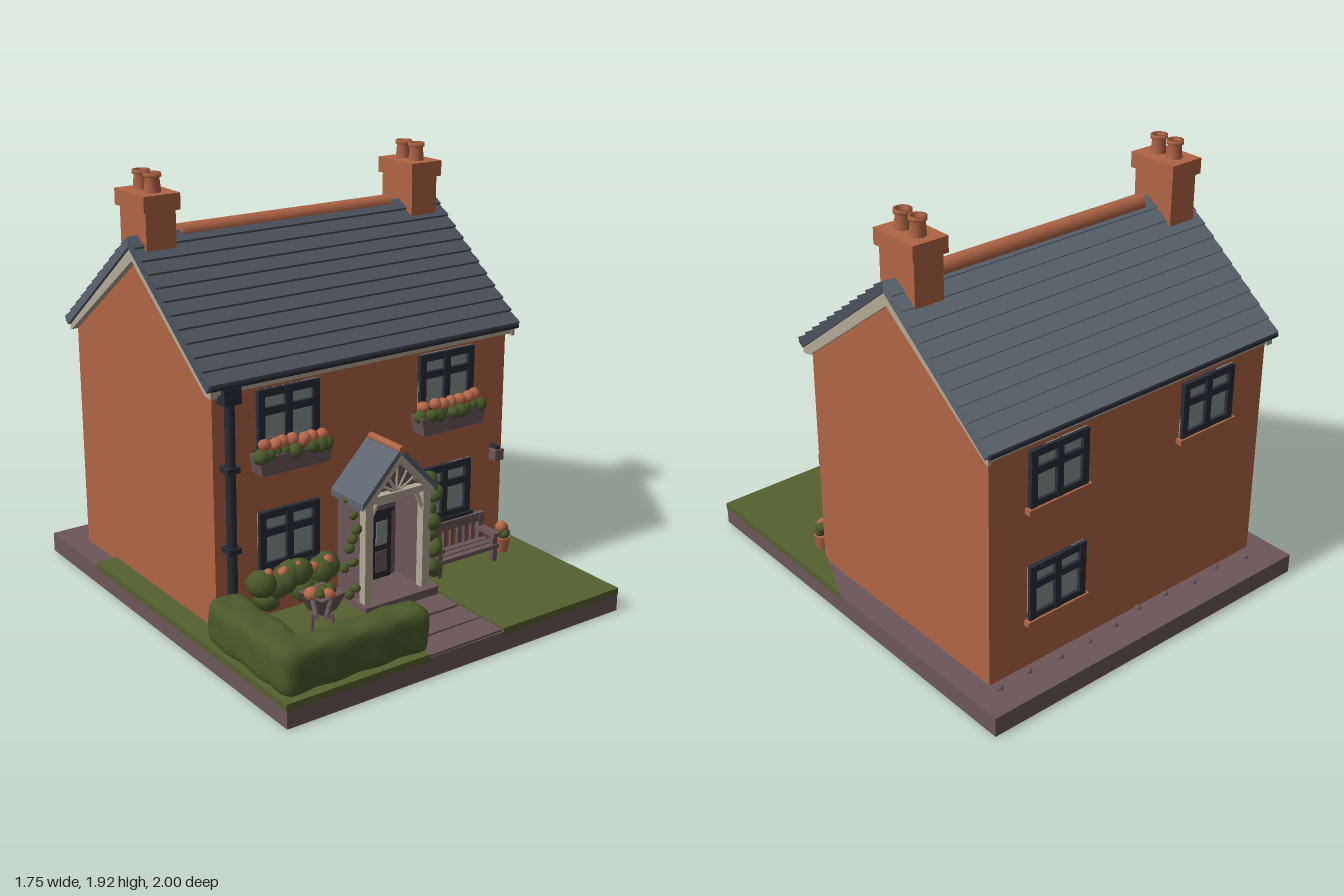
import * as THREE from 'three';
import { mergeVertices } from 'three/addons/utils/BufferGeometryUtils.js';

const mat = (name, color, opts = {}) => Object.assign(new THREE.MeshStandardMaterial({ color, ...opts }), { name });
const M = {
  brick: mat('brick', 0xb06545), slateDark: mat('dark slate', 0x4b525d), slate: mat('slate', 0x5c6570),
  stone: mat('stone and wood', 0x6c575a), grass: mat('grass', 0x566030), leaf: mat('foliage', 0x4b5a2a),
  cream: mat('cream timber', 0xb3a996), navy: mat('dark paint', 0x2a2c37), glass: mat('glass', 0x87928f),
  flower: mat('flower', 0xb8694a),
};

let seed = 7;
const rnd = () => (seed = (seed * 16807) % 2147483647) / 2147483647;

export function createModel() {
  const root = new THREE.Group();
  root.name = 'cottage';

  const group = (name) => { const g = new THREE.Group(); g.name = name; root.add(g); return g; };
  const add = (name, geo, material, parent = root) => {
    const m = new THREE.Mesh(geo, material);
    m.name = name;
    parent.add(m);
    return m;
  };
  // Box given by its limits
  const box = (name, x0, x1, y0, y1, z0, z1, material, parent) => {
    const m = add(name, new THREE.BoxGeometry(x1 - x0, y1 - y0, z1 - z0), material, parent);
    m.position.set((x0 + x1) / 2, (y0 + y1) / 2, (z0 + z1) / 2);
    return m;
  };
  // Square or round bar between two points
  const bar = (name, a, b, r, material, parent, sides = 8) => {
    const p = new THREE.Vector3(...a), q = new THREE.Vector3(...b);
    const m = add(name, new THREE.CylinderGeometry(r, r, p.distanceTo(q), sides), material, parent);
    m.position.copy(p).lerp(q, 0.5);
    m.quaternion.setFromUnitVectors(new THREE.Vector3(0, 1, 0), q.sub(p).normalize());
    return m;
  };
  // Profile of [z, y] points swept along x
  const sweepX = (name, pts, x0, x1, material, parent) => {
    const shape = new THREE.Shape(pts.map(([z, y]) => new THREE.Vector2(-z, y)));
    const geo = new THREE.ExtrudeGeometry(shape, { depth: x1 - x0, bevelEnabled: false });
    return add(name, geo.rotateY(Math.PI / 2).translate(x0, 0, 0), material, parent);
  };
  // Profile of [x, y] points swept along z
  const sweepZ = (name, pts, z0, z1, material, parent) => {
    const shape = new THREE.Shape(pts.map((p) => new THREE.Vector2(...p)));
    const geo = new THREE.ExtrudeGeometry(shape, { depth: z1 - z0, bevelEnabled: false });
    return add(name, geo.translate(0, 0, z0), material, parent);
  };
  // Lumpy ball for leaves and flowers
  const blob = (name, x, y, z, r, material, parent) => {
    const m = add(name, new THREE.IcosahedronGeometry(r, 1), material, parent);
    m.position.set(x, y, z);
    m.scale.set(0.85 + rnd() * 0.3, 0.8 + rnd() * 0.3, 0.85 + rnd() * 0.3);
    m.rotation.set(rnd() * 3, rnd() * 3, rnd() * 3);
  };

  // Plinth, lawns and path
  box('plinth', -0.87, 0.87, 0, 0.09, -1, 1, M.stone);
  const lawn = (name, pts) => {
    const shape = new THREE.Shape(pts.map(([x, z]) => new THREE.Vector2(x, -z)));
    const geo = new THREE.ExtrudeGeometry(shape, { depth: 0.03, bevelEnabled: false });
    add(name, geo.rotateX(-Math.PI / 2).translate(0, 0.076, 0), M.grass);
  };
  lawn('leftLawn', [[-0.873, -0.55], [-0.873, 1.0], [-0.18, 1.0], [-0.18, 0.32], [-0.76, 0.32], [-0.76, -0.55]]);
  lawn('rightLawn', [[0.21, 0.32], [0.21, 1.0], [0.873, 1.0], [0.873, 0.05], [0.79, 0.25], [0.75, 0.32]]);
  [0.58, 0.725, 0.865].forEach((z, i) => box('pathSlab', -0.175, 0.205, 0.08, 0.1, z, z + 0.13, M.stone).rotation.y = (i - 1) * 0.012);
  box('doorStep', -0.18, 0.21, 0.08, 0.13, 0.33, 0.57, M.stone);
  for (let i = 0; i < 10; i++) blob('pebble', -0.7 + i * 0.16, 0.092, -0.88 + rnd() * 0.04, 0.015, M.stone);

  // Walls with gable ends
  sweepX('walls', [[0.33, 0.08], [0.33, 1.17], [-0.23, 1.61], [-0.83, 1.17], [-0.83, 0.08]], -0.77, 0.76, M.brick);

  // Roof slopes with stepped slate courses, gutters, fascias and bargeboards
  const RZ = -0.235, RY = 1.665, EY = 1.18;
  for (const [side, eave, wall, courses, step, material] of [
    ['front', 0.39, 0.33, 11, 0.013, M.slateDark], ['back', -0.86, -0.83, 11, 0.007, M.slate]]) {
    const dz = eave - RZ, dy = EY - RY, len = Math.hypot(dz, dy), s = Math.sign(dz);
    const nz = (-dy / len) * s, ny = Math.abs(dz) / len;
    const pts = [];
    for (let i = 0; i < courses; i++) {
      const a = i / courses, b = (i + 1) / courses;
      pts.push([RZ + dz * a, RY + dy * a], [RZ + dz * b + nz * step, RY + dy * b + ny * step]);
    }
    pts.push([eave - nz * 0.035, EY - ny * 0.035], [RZ, RY - 0.045]);
    sweepX(side + 'Roof', pts, -0.815, 0.785, material);
    for (const [x0, x1] of [[-0.80, -0.768], [0.758, 0.775]])
      sweepX('bargeboard', [[RZ, RY - 0.03], [eave - s * 0.015, EY - 0.02], [eave - s * 0.015, EY - 0.055],
        [wall, EY - 0.05], [RZ, RY - 0.105]], x0, x1, M.cream);
    const out = eave - s * 0.02;
    box(side + 'Fascia', -0.78, 0.768, 1.135, 1.185, Math.min(wall, out), Math.max(wall, out), M.cream);
    bar(side + 'Gutter', [-0.81, 1.172, eave - s * 0.005], [0.78, 1.172, eave - s * 0.005], 0.014, M.navy);
  }
  bar('ridgeTile', [-0.57, 1.648, RZ - 0.01], [0.53, 1.648, RZ - 0.01], 0.04, M.brick, root, 10);

  // Chimneys with two pots each
  for (const [x, z] of [[-0.7, -0.265], [0.655, -0.245]]) {
    const g = group('chimney');
    box('stack', x - 0.07, x + 0.07, 1.45, 1.8, z - 0.11, z + 0.11, M.brick, g);
    box('cap', x - 0.085, x + 0.085, 1.77, 1.84, z - 0.125, z + 0.125, M.brick, g);
    for (const d of [-0.047, 0.047]) {
      const pot = add('pot', new THREE.LatheGeometry([[0.036, 0], [0.03, 0.065], [0.038, 0.068], [0.038, 0.085], [0.024, 0.085], [0.02, 0.03], [0, 0.03]]
        .map((p) => new THREE.Vector2(...p)), 12), M.brick, g);
      pot.position.set(x, 1.835, z + d);
    }
  }

  // Casement windows, front and back
  const windowAt = (x, y, z, turned) => {
    const g = group('window'), w = 0.15, h = 0.13, t = 0.016;
    box('pane', -w, w, -h, h, -0.01, 0.006, M.glass, g);
    for (const u of [-w + t, 0, w - t]) box('upright', u - t, u + t, -h, h, -0.01, 0.022, M.navy, g);
    for (const v of [-h + t, 0.035, h - t]) box('rail', -w, w, v - t, v + t, -0.01, 0.02, M.navy, g);
    box('sill', -w - 0.015, w + 0.015, -h - 0.018, -h + 0.005, -0.01, 0.03, turned ? M.brick : M.navy, g);
    g.position.set(x, y, z);
    if (turned) g.rotation.y = Math.PI;
  };
  for (const x of [-0.415, 0.415]) for (const y of [0.45, 0.98]) {
    windowAt(x, y, 0.33, false);
    if (x > 0 || y > 0.5) windowAt(x, y, -0.83, true);
  }

  // Window boxes with flowers, and a flower bed under the left window
  for (const x of [-0.42, 0.41]) {
    const g = group('windowBox');
    sweepZ('trough', [[x - 0.165, 0.765], [x + 0.165, 0.765], [x + 0.18, 0.845], [x - 0.18, 0.845]], 0.33, 0.41, M.stone, g);
    for (let i = 0; i < 9; i++) blob('leaves', x - 0.16 + i * 0.04, 0.845, 0.375 + rnd() * 0.03, 0.033, M.leaf, g);
    for (let i = 0; i < 7; i++) blob('bloom', x - 0.14 + i * 0.047, 0.875 + rnd() * 0.02, 0.365 + rnd() * 0.03, 0.028, M.flower, g);
  }
  const bed = group('flowerBed');
  for (let i = 0; i < 10; i++) {
    blob('leaves', -0.59 + i * 0.038, 0.2 + rnd() * 0.1, 0.37 + rnd() * 0.03, 0.06, M.leaf, bed);
    if (i % 2) blob('bloom', -0.6 + i * 0.038, 0.3 + rnd() * 0.03, 0.4, 0.027, M.flower, bed);
  }

  // Front door
  const door = group('frontDoor');
  box('doorFrame', -0.115, 0.14, 0.12, 0.47, 0.32, 0.35, M.stone, door);
  box('doorLeaf', -0.085, 0.11, 0.13, 0.44, 0.34, 0.36, M.navy, door);
  box('lintel', -0.1, 0.125, 0.44, 0.455, 0.34, 0.365, M.navy, door);
  for (const x of [-0.06, 0.025]) {
    box('doorGlass', x, x + 0.06, 0.29, 0.4, 0.355, 0.364, M.glass, door);
    box('doorPanel', x, x + 0.06, 0.16, 0.26, 0.355, 0.364, M.stone, door);
  }

  // Porch: posts, side screens, gable truss and slate roof
  const porch = group('porch'), cx = 0.008;
  for (const s of [-1, 1]) {
    box('post', cx + s * 0.153 - 0.02, cx + s * 0.153 + 0.02, 0.12, 0.6, 0.5, 0.54, M.cream, porch);
    box('sideScreen', cx + s * 0.153 - 0.01, cx + s * 0.153 + 0.01, 0.12, 0.6, 0.33, 0.51, M.stone, porch);
    const slope = (top, drop, half) => [[cx, top], [cx + s * half, 0.6], [cx + s * half, 0.6 - drop], [cx, top - drop]];
    sweepZ('porchRoof', slope(0.81, 0.03, 0.2), 0.33, 0.555, M.slate, porch);
    sweepZ('rafter', slope(0.785, 0.045, 0.182), 0.515, 0.55, M.cream, porch);
    bar('brace', [cx + s * 0.14, 0.5, 0.525], [cx + s * 0.1, 0.585, 0.525], 0.012, M.cream, porch, 4);
  }
  box('tieBeam', cx - 0.165, cx + 0.165, 0.58, 0.61, 0.505, 0.54, M.cream, porch);
  for (let i = 1; i < 6; i++) {
    const a = (i * Math.PI) / 6, r = i === 3 ? 0.15 : i % 2 ? 0.1 : 0.12;
    bar('trussSpoke', [cx, 0.6, 0.525], [cx + Math.cos(a) * r, 0.6 + Math.sin(a) * r, 0.525], 0.007, M.cream, porch, 4);
  }
  sweepZ('gableBack', [[cx - 0.15, 0.6], [cx + 0.15, 0.6], [cx, 0.755]], 0.495, 0.503, M.stone, porch);
  bar('porchRidge', [cx, 0.8, 0.34], [cx, 0.8, 0.56], 0.018, M.brick, porch);

  // Climbing rose on the right of the porch, a thin vine on the left
  const rose = group('climbingRose');
  for (let i = 0; i < 26; i++) {
    const y = 0.15 + (i / 25) * 0.45;
    blob('leaves', 0.2 + rnd() * 0.04, y, 0.37 + rnd() * 0.16, 0.04, M.leaf, rose);
    if (i % 2) blob('bloom', 0.215 + rnd() * 0.03 - Math.max(0, y - 0.45) * 0.6, y + 0.03, 0.4 + rnd() * 0.15, 0.027, M.flower, rose);
    if (i % 3 === 0) blob('leaves', -0.175 - rnd() * 0.015, y, 0.4 + rnd() * 0.12, 0.022, M.leaf, rose);
  }

  // Clipped hedge: rounded, gently uneven blocks
  const hedge = (x0, x1, z0, z1) => {
    const w = x1 - x0, h = 0.2, d = z1 - z0, r = 0.045, v = new THREE.Vector3(), c = new THREE.Vector3();
    let geo = new THREE.BoxGeometry(w, h, d, Math.ceil(w / 0.03), 7, Math.ceil(d / 0.03));
    geo.deleteAttribute('normal');
    geo.deleteAttribute('uv');
    geo = mergeVertices(geo);
    const p = geo.attributes.position;
    for (let i = 0; i < p.count; i++) {
      v.fromBufferAttribute(p, i);
      c.set(w / 2 - r, h / 2 - r, d / 2 - r);
      c.copy(v.clone().clamp(c.clone().negate(), c));
      const bump = r + 0.006 * Math.sin(v.x * 31 + v.y * 17) * Math.cos(v.z * 27 + v.y * 23);
      v.sub(c).setLength(bump).add(c);
      p.setXYZ(i, v.x, v.y, v.z);
    }
    geo.computeVertexNormals();
    add('hedge', geo, M.leaf).position.set((x0 + x1) / 2, 0.19, (z0 + z1) / 2);
  };
  hedge(-0.855, -0.145, 0.82, 0.97);
  hedge(-0.855, -0.685, 0.37, 0.96);

  // Drainpipe and wall lamp
  bar('drainpipe', [-0.71, 0.1, 0.365], [-0.71, 1.16, 0.365], 0.022, M.navy);
  box('hopper', -0.75, -0.67, 1.09, 1.16, 0.335, 0.395, M.navy);
  for (const y of [0.45, 0.8]) box('pipeBracket', -0.74, -0.68, y, y + 0.025, 0.325, 0.392, M.navy);
  box('lampArm', 0.69, 0.71, 0.6, 0.615, 0.33, 0.38, M.navy);
  box('lamp', 0.675, 0.725, 0.55, 0.6, 0.345, 0.39, M.stone);

  // Garden bench
  const bench = group('bench');
  for (const x of [0.285, 0.605]) {
    box('backLeg', x, x + 0.025, 0.1, 0.31, 0.35, 0.375, M.stone, bench);
    box('frontLeg', x, x + 0.025, 0.1, 0.235, 0.45, 0.475, M.stone, bench);
    box('armRest', x - 0.005, x + 0.03, 0.225, 0.245, 0.35, 0.485, M.stone, bench);
  }
  for (const z of [0.37, 0.41, 0.45]) box('seatSlat', 0.28, 0.635, 0.17, 0.188, z, z + 0.032, M.stone, bench);
  box('topRail', 0.28, 0.635, 0.27, 0.31, 0.35, 0.372, M.stone, bench);
  for (let i = 0; i < 7; i++) box('backSlat', 0.325 + i * 0.04, 0.345 + i * 0.04, 0.18, 0.28, 0.354, 0.368, M.stone, bench);

  // Potted plant
  const pot = add('plantPot', new THREE.CylinderGeometry(0.042, 0.032, 0.07, 12), M.brick);
  pot.position.set(0.72, 0.14, 0.4);
  for (let i = 0; i < 4; i++) blob('potPlant', 0.7 + rnd() * 0.04, 0.19 + i * 0.012, 0.39 + rnd() * 0.03, 0.03, i === 3 ? M.flower : M.leaf);

  // Wheelbarrow filled with plants
  const barrow = group('wheelbarrow');
  const tub = add('tub', new THREE.CylinderGeometry(0.1, 0.06, 0.08, 4), M.stone, barrow);
  tub.position.set(0, 0.11, 0);
  for (const s of [-1, 1]) {
    bar('handle', [s * 0.05, 0.1, -0.12], [s * 0.02, 0.17, 0.27], 0.012, M.stone, barrow, 6);
    bar('leg', [s * 0.04, 0.09, 0.08], [s * 0.045, 0, 0.1], 0.01, M.stone, barrow, 6);
  }
  const wheel = add('wheel', new THREE.TorusGeometry(0.04, 0.012, 6, 14), M.navy, barrow);
  wheel.position.set(0, 0.05, -0.12);
  wheel.rotation.y = Math.PI / 2;
  for (let i = 0; i < 6; i++) blob('plants', (rnd() - 0.5) * 0.09, 0.155, (rnd() - 0.5) * 0.1, 0.03, i % 3 ? M.leaf : M.flower, barrow);
  barrow.position.set(-0.38, 0.1, 0.53);
  barrow.rotation.y = -0.62;

  return root;
}
